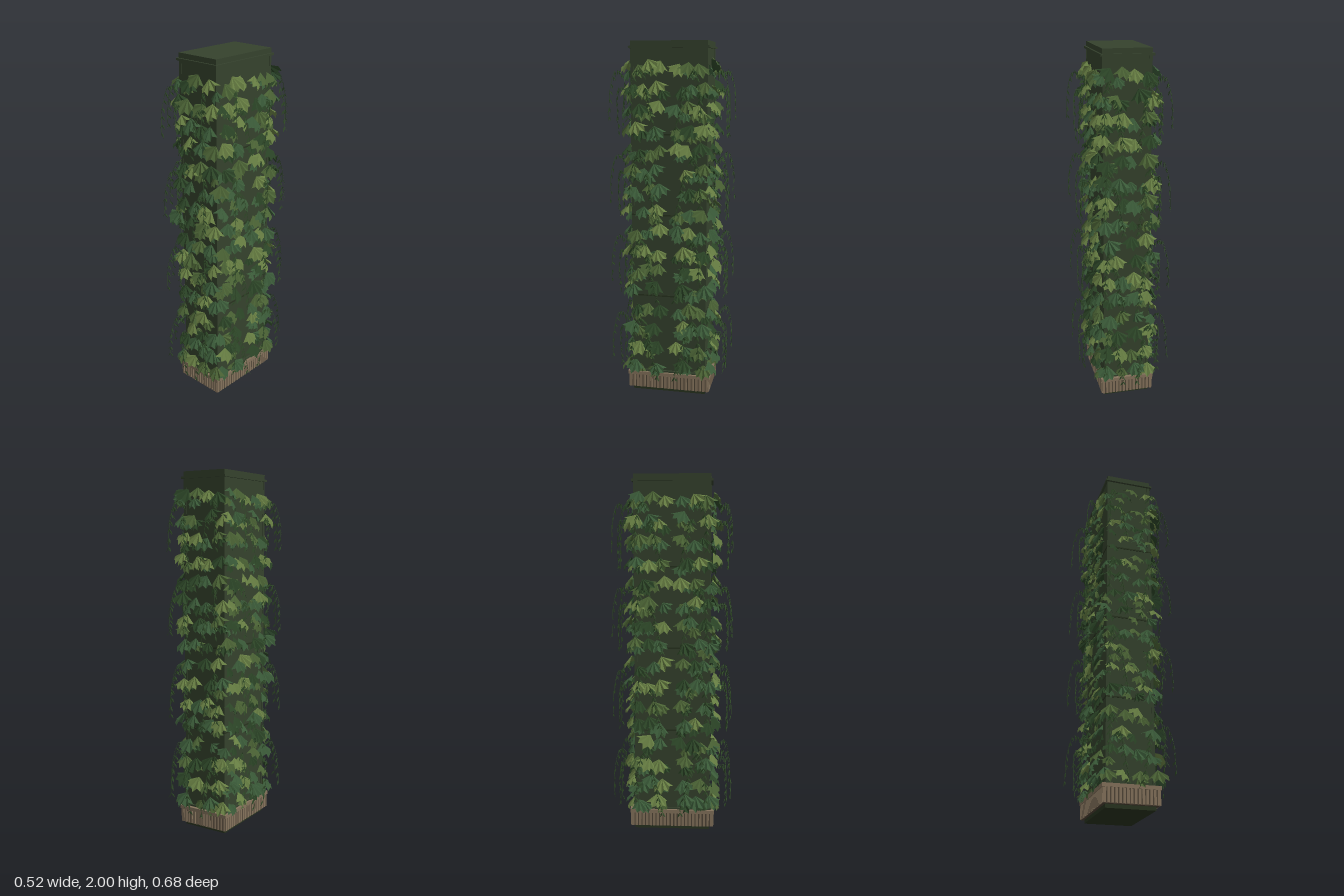
import * as THREE from 'three';
import { mergeGeometries } from 'three/addons/utils/BufferGeometryUtils.js';

const mat = (name, color, side = THREE.FrontSide) =>
  Object.assign(new THREE.MeshStandardMaterial({ color, side, flatShading: true }), { name });

// small seeded generator
function seeded(seed) {
  return () => {
    seed = (seed * 16807) % 2147483647;
    return seed / 2147483647;
  };
}

function fromTriangles(points) {
  const g = new THREE.BufferGeometry();
  g.setAttribute('position', new THREE.Float32BufferAttribute(points, 3));
  g.computeVertexNormals();
  return g;
}

// pleated, lobed leaf hanging from its stalk at the origin, unit length
function leafGeometry() {
  const rim = [];
  const n = 8;
  for (let i = 0; i <= n; i++) {
    const a = -1.05 + (2.1 * i) / n;
    const r = (i % 2 ? 0.8 : 1) * (1 - 0.18 * Math.abs(a));
    rim.push([Math.sin(a) * r * 0.95, -Math.cos(a) * r, (i % 2 ? 0.07 : -0.07) - 0.16 * a * a]);
  }
  const tris = [];
  for (let i = 0; i < n; i++) tris.push(0, 0, 0, ...rim[i], ...rim[i + 1]);
  return fromTriangles(tris);
}

// slim folded leaflet, unit length
function leafletGeometry() {
  return fromTriangles([
    0, 0, 0, -0.14, -0.45, -0.05, 0, -1, 0,
    0, 0, 0, 0, -1, 0, 0.14, -0.45, -0.05,
  ]);
}

export function createModel() {
  const model = new THREE.Group();
  model.name = 'plantTower';
  const rand = seeded(4217);
  const jitter = (s) => (rand() * 2 - 1) * s;

  const panelMat = mat('panel green', 0x35422d);
  const trimMat = mat('dark trim', 0x28331f);
  const woodMat = mat('planter wood', 0x85735c);
  const grooveMat = mat('planter groove', 0x4f4436);
  const leafMats = [
    mat('deep leaf', 0x2b4426, THREE.DoubleSide),
    mat('cool leaf', 0x3a5a38, THREE.DoubleSide),
    mat('mid leaf', 0x4a6234, THREE.DoubleSide),
    mat('light leaf', 0x667d42, THREE.DoubleSide),
  ];
  const vineMat = mat('vine green', 0x304a28, THREE.DoubleSide);

  const box = (name, w, h, d, x, y, z, material) => {
    const m = new THREE.Mesh(new THREE.BoxGeometry(w, h, d), material);
    m.name = name;
    m.position.set(x, y, z);
    model.add(m);
    return m;
  };

  // column, top cap and plinth
  box('column', 0.26, 1.86, 0.42, 0, 1.04, 0, panelMat);
  box('capRim', 0.284, 0.012, 0.444, 0, 1.967, 0, panelMat);
  box('cap', 0.264, 0.03, 0.424, 0, 1.985, 0, panelMat);
  box('plinth', 0.264, 0.03, 0.424, 0, 0.015, 0, trimMat);
  for (const y of [0.58, 1.05, 1.5]) box('moduleSeam', 0.266, 0.008, 0.426, 0, y, 0, trimMat);
  for (const sx of [-1, 1])
    for (const sz of [-1, 1]) box('cornerTrim', 0.016, 1.84, 0.016, sx * 0.124, 1.04, sz * 0.204, panelMat);

  // planter base with vertical slats
  box('planterBody', 0.29, 0.085, 0.46, 0, 0.0625, 0, grooveMat);
  box('planterRim', 0.31, 0.02, 0.48, 0, 0.108, 0, woodMat);
  box('planterSoil', 0.284, 0.01, 0.444, 0, 0.122, 0, panelMat);
  const slats = [];
  const slatRow = (half, depth, count, alongX) => {
    const step = (half * 2) / count;
    for (let i = 0; i < count; i++)
      for (const s of [-1, 1]) {
        const p = -half + step * (i + 0.5);
        const w = step * 0.66;
        slats.push(alongX
          ? new THREE.BoxGeometry(w, 0.078, 0.012).translate(p, 0.061, s * depth)
          : new THREE.BoxGeometry(0.012, 0.078, w).translate(s * depth, 0.061, p));
      }
  };
  slatRow(0.15, 0.231, 15, true);
  slatRow(0.235, 0.146, 23, false);
  const slatMesh = new THREE.Mesh(mergeGeometries(slats), woodMat);
  slatMesh.name = 'planterSlats';
  model.add(slatMesh);

  const leaf = leafGeometry();
  const leaflet = leafletGeometry();
  const place = (geo, x, y, z, rx, ry, rz, s) =>
    geo.clone().applyMatrix4(new THREE.Matrix4().compose(
      new THREE.Vector3(x, y, z),
      new THREE.Quaternion().setFromEuler(new THREE.Euler(rx, ry, rz)),
      new THREE.Vector3(s, s, s)));

  // one drooping vine: thin stem plus paired leaflets
  const addVine = (list, points, side) => {
    const curve = new THREE.CatmullRomCurve3(points.map(([u, y, d]) => new THREE.Vector3(u * side, y, d)));
    const stem = new THREE.TubeGeometry(curve, 8, 0.0013, 3).toNonIndexed();
    stem.deleteAttribute('uv');
    list.push(stem);
    for (let i = 1; i <= 10; i++) {
      const p = curve.getPoint(i / 10);
      for (const s of [-1, 1])
        list.push(place(leaflet, p.x, p.y, p.z, -0.25 + jitter(0.3), s * 0.6, s * (0.45 + rand() * 0.3), 0.036));
    }
  };

  // foliage on one face: local x runs along the face, local z points outward
  const addFace = (name, angle, depth, columns, vine) => {
    const face = new THREE.Group();
    face.name = name;
    face.rotation.y = angle;
    const byColour = leafMats.map(() => []);
    const vines = [];
    for (let row = 0; row < 16; row++) {
      const y = 1.895 - row * 0.1135;
      for (const u of columns) {
        const shift = (row % 2 ? 0.012 : -0.012) * Math.sign(u);
        if (rand() > 0.12) // outer leaf
          byColour[Math.floor(rand() * 4)].push(place(leaf, u + shift + jitter(0.012), y + jitter(0.022),
            depth + 0.006 + rand() * 0.012, -0.5 - rand() * 0.22, jitter(0.45), jitter(0.45), 0.082 + rand() * 0.018));
        if (rand() > 0.35) // smaller leaf tucked behind
          byColour[Math.floor(rand() * 3)].push(place(leaf, u - shift + jitter(0.02), y - 0.035 + jitter(0.015),
            depth + 0.008, -0.3 - rand() * 0.2, jitter(0.5), jitter(0.7), 0.06 + rand() * 0.015));
      }
    }
    for (let k = 0; k < 4; k++) {
      const y = 1.85 - k * 0.46;
      for (const side of [-1, 1]) {
        const { near, far, mid } = vine;
        addVine(vines, [
          [near, y - 0.04, depth + 0.05], [near + (far - near) * 0.45, y, depth + 0.085],
          [near + (far - near) * 0.85, y - 0.1, depth + 0.115], [far, y - 0.25, depth + 0.122]], side);
        addVine(vines, [
          [near, y - 0.1, depth + 0.05], [near * 0.8 + mid * 0.2, y - 0.1, depth + 0.085],
          [(near + mid) / 2, y - 0.2, depth + 0.1], [mid, y - 0.34, depth + 0.1]], side);
      }
    }
    byColour.forEach((list, i) => {
      const m = new THREE.Mesh(mergeGeometries(list.map(stripped)), leafMats[i]);
      m.name = 'leaves';
      face.add(m);
    });
    const m = new THREE.Mesh(mergeGeometries(vines.map(stripped)), vineMat);
    m.name = 'hangingVines';
    face.add(m);
    model.add(face);
  };
  const stripped = (g) => {
    g.computeVertexNormals();
    return g;
  };

  const narrow = [-0.115, -0.04, 0.04, 0.115];
  const wide = [-0.185, -0.125, -0.065, 0.065, 0.125, 0.185];
  const narrowVine = { near: 0.09, far: 0.15, mid: 0.04 };
  const wideVine = { near: 0.12, far: 0.195, mid: 0.05 };
  addFace('frontFoliage', 0, 0.21, narrow, narrowVine);
  addFace('backFoliage', Math.PI, 0.21, narrow, narrowVine);
  addFace('leftFoliage', Math.PI / 2, 0.13, wide, wideVine);
  addFace('rightFoliage', -Math.PI / 2, 0.13, wide, wideVine);
  return model;
}
